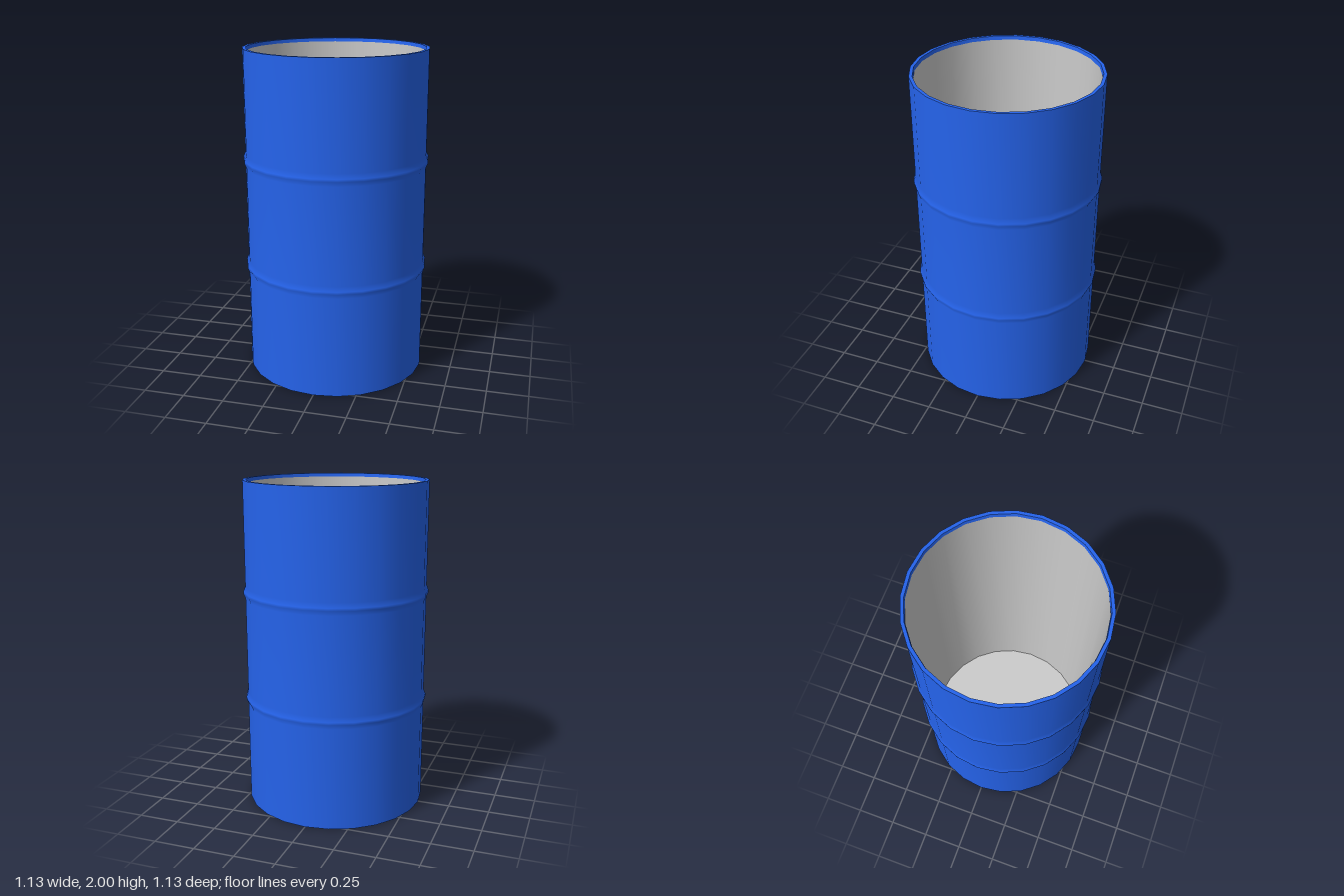
import * as THREE from 'three';
import { mergeGeometries } from 'three/addons/utils/BufferGeometryUtils.js';

const SIDES = 24;
const R = 0.553, LIP = 0.533, INNER = 0.52, H = 2, RECESS = 0.022;

// Each run of [radius, height] points is smooth; runs meet at sharp edges.
function lathe(runs) {
  return mergeGeometries(runs.map((run) =>
    new THREE.LatheGeometry(run.map(([r, y]) => new THREE.Vector2(r, y)), SIDES)));
}

export function createModel() {
  const group = new THREE.Group();
  const blue = new THREE.MeshStandardMaterial({ color: 0x2563eb });
  const grey = new THREE.MeshStandardMaterial({ color: 0xcccccc });
  const add = (name, runs, material) => {
    const mesh = new THREE.Mesh(lathe(runs), material);
    mesh.name = name;
    group.add(mesh);
  };

  // Outer wall with two rolled ridges at the thirds
  const wall = [[R, 0]];
  for (const y of [H / 3, 2 * H / 3]) {
    wall.push([R, y - 0.037], [R + 0.012, y - 0.008], [R + 0.012, y + 0.008], [R, y + 0.037]);
  }
  wall.push([R, H]);
  add('outerWall', [wall], blue);

  // Flat top edge and its short inner face
  add('topRim', [
    [[R, H], [LIP, H]],
    [[LIP, H], [LIP - 0.004, H - RECESS]],
  ], blue);

  // Bottom edge and recessed underside
  add('bottomRim', [
    [[LIP, 0], [R, 0]],
    [[LIP - 0.004, RECESS], [LIP, 0]],
  ], blue);
  add('underside', [[[0, RECESS], [LIP - 0.004, RECESS]]], blue);

  // Bare inside: slightly tapered wall and floor
  add('innerWall', [[[LIP - 0.004, H - RECESS], [INNER, RECESS + 0.02]]], grey);
  add('floor', [[[INNER, RECESS + 0.02], [0, RECESS + 0.02]]], grey);

  return group;
}
